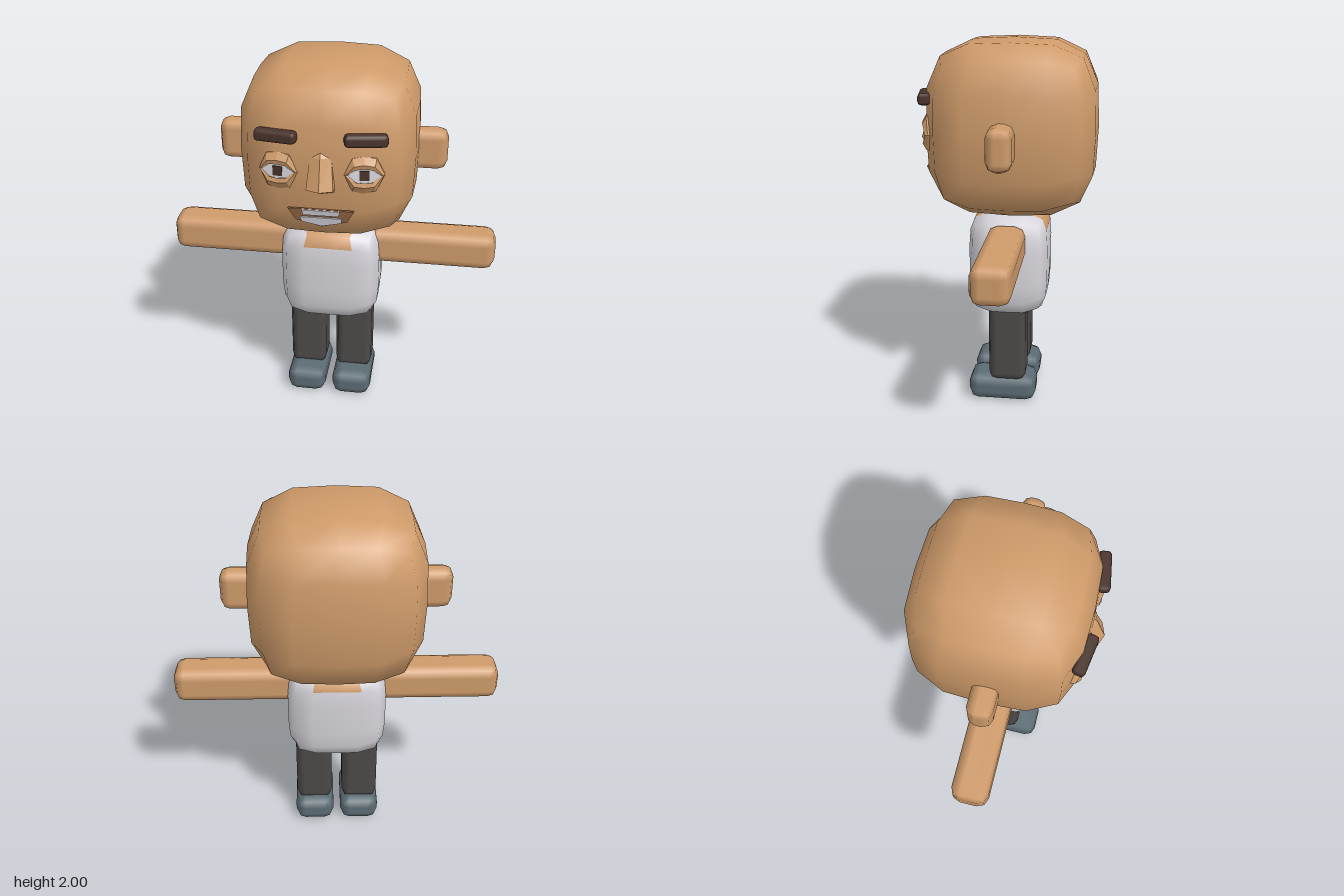
import * as THREE from 'three';
import { mergeVertices } from 'three/addons/utils/BufferGeometryUtils.js';
import { RoundedBoxGeometry } from 'three/addons/geometries/RoundedBoxGeometry.js';

const mat = (name, color, side = THREE.FrontSide) => {
  const m = new THREE.MeshStandardMaterial({ color, side });
  m.name = name;
  return m;
};

// Low-poly box swollen into a superellipsoid; k sets how square it is
function softCube(w, h, d, k, sx, sy, sz) {
  let g = new THREE.BoxGeometry(2, 2, 2, sx, sy, sz);
  g.deleteAttribute('uv');
  g.deleteAttribute('normal');
  g.clearGroups();
  const p = g.attributes.position, v = new THREE.Vector3();
  for (let i = 0; i < p.count; i++) {
    v.fromBufferAttribute(p, i);
    const s = (Math.abs(v.x) ** k + Math.abs(v.y) ** k + Math.abs(v.z) ** k) ** (-1 / k);
    p.setXYZ(i, v.x * s * w / 2, v.y * s * h / 2, v.z * s * d / 2);
  }
  g = mergeVertices(g, 1e-4);
  g.computeVertexNormals();
  return g;
}

// Skin through a list of equal-length point rows
function loft(rows, closed) {
  const n = rows[0].length, index = [];
  for (let r = 0; r < rows.length - 1; r++) {
    for (let i = 0; i < (closed ? n : n - 1); i++) {
      const a = r * n + i, b = r * n + (i + 1) % n;
      index.push(a, a + n, b, b, a + n, b + n);
    }
  }
  const g = new THREE.BufferGeometry();
  g.setAttribute('position', new THREE.Float32BufferAttribute(rows.flat(2), 3));
  g.setIndex(index);
  const flat = g.toNonIndexed();
  flat.computeVertexNormals();
  return flat;
}

// Thin plate from an outline
function plate(points, depth) {
  const shape = new THREE.Shape(points.map(([x, y]) => new THREE.Vector2(x, y)));
  return new THREE.ExtrudeGeometry(shape, { depth, bevelEnabled: false });
}

export function createModel() {
  const model = new THREE.Group();
  model.name = 'figure';
  const skin = mat('skin', 0xcf9b6a);
  const skinSheet = skin;
  const shirt = mat('shirt', 0xd6d4da);
  const trousers = mat('trousers', 0x4d4949);
  const shoe = mat('shoe', 0x5c6c74);
  const brown = mat('dark brown', 0x4a342c);
  const mouthTone = mat('mouth', 0x9c6d46);
  const white = mat('eye and tooth white', 0xdcdce4);

  const add = (parent, name, geo, material, x = 0, y = 0, z = 0) => {
    const m = new THREE.Mesh(geo, material);
    m.name = name;
    m.position.set(x, y, z);
    parent.add(m);
    return m;
  };
  const block = (w, h, d, r) => new RoundedBoxGeometry(w, h, d, 1, r);

  // Head
  add(model, 'head', softCube(0.91, 0.91, 0.89, 3.6, 4, 4, 4), skin, 0, 1.545, -0.035);

  // Torso: vest with skin showing at the neckline, front and back
  const torso = softCube(0.545, 0.585, 0.43, 4.5, 4, 6, 4);
  const pos = torso.attributes.position, idx = [...torso.index.array];
  const cloth = [], bare = [];
  for (let t = 0; t < idx.length; t += 3) {
    const tri = idx.slice(t, t + 3);
    const cx = Math.abs(tri.reduce((s, i) => s + pos.getX(i), 0) / 3);
    const cy = tri.reduce((s, i) => s + pos.getY(i), 0) / 3;
    (cx < 0.125 && cy > 0.193 ? bare : cloth).push(...tri);
  }
  torso.setIndex([...cloth, ...bare]);
  torso.addGroup(0, cloth.length, 0);
  torso.addGroup(cloth.length, bare.length, 1);
  add(model, 'torso', torso, [shirt, skin], 0, 0.802, -0.015);

  // Nose: three-sided wedge widening downward
  const noseRow = ([y, w, z, back]) =>
    [[-w, y, back], [-w * 0.95, y, z - 0.025], [0, y, z], [w * 0.95, y, z - 0.025], [w, y, back]];
  const nose = [[1.64, 0.05, 0.405, 0.36], [1.615, 0.055, 0.425, 0.36], [1.46, 0.07, 0.476, 0.36],
    [1.43, 0.068, 0.42, 0.36], [1.43, 0.06, 0.36, 0.34]].map(noseRow);
  add(model, 'nose', loft(nose, false), skinSheet);

  // Mouth with two rows of teeth
  const mouth = new THREE.Group();
  mouth.name = 'mouth';
  mouth.position.set(0, 1.29, 0.398);
  mouth.rotation.x = 0.27;
  model.add(mouth);
  add(mouth, 'mouthOpening', plate([[-0.165, 0.052], [-0.13, -0.02], [0, -0.06], [0.13, -0.02], [0.165, 0.052]], 0.009),
    mouthTone, 0, 0, -0.006);
  add(mouth, 'upperTeeth', plate([[-0.095, 0.05], [-0.09, 0.018], [0.09, 0.018], [0.095, 0.05]], 0.008), white, 0, 0, 0.001);
  add(mouth, 'lowerTeeth', plate([[-0.105, 0.004], [-0.1, -0.026], [0, -0.052], [0.1, -0.026], [0.105, 0.004]], 0.008),
    white, 0, 0, 0.001);

  // Eyelid rings run anticlockwise from the outer corner
  const ring = (a, b, c, z, zCorner) => [[a, 0, zCorner], [b, c * 0.87, z], [0, c, z], [-b, c * 0.87, z],
    [-a, 0, zCorner], [-b, -c * 0.87, z], [0, -c, z], [b, -c * 0.87, z]];
  const lids = [ring(0.103, 0.06, 0.102, -0.04, -0.04), ring(0.1, 0.058, 0.098, 0.004, -0.005),
    ring(0.092, 0.05, 0.06, 0.026, 0.01), ring(0.077, 0.042, 0.037, 0.02, 0.006)]
    .map((r) => r.map((p) => p));
  const eyeWhite = ring(0.08, 0.045, 0.04, 0, 0).map(([x, y]) => [x, y]);

  for (const [side, s] of [['left', 1], ['right', -1]]) {
    // Eye
    const eye = new THREE.Group();
    eye.name = side + 'Eye';
    eye.position.set(s * 0.21, 1.533, 0.392);
    eye.rotation.y = s * 0.14;
    model.add(eye);
    // Lofted inward, so the rows are reversed to keep faces outward
    add(eye, 'eyelids', loft(lids.map((r) => [...r].reverse()), true), skinSheet);
    add(eye, 'eyeball', plate(eyeWhite, 0.008), white, 0, 0, 0.004);
    add(eye, 'pupil', new THREE.BoxGeometry(0.048, 0.05, 0.006), brown, 0, 0, 0.014);

    // Eyebrow
    const brow = add(model, side + 'Eyebrow', block(0.21, 0.062, 0.065, 0.02), brown, s * 0.217, 1.715, 0.403);
    brow.rotation.y = s * 0.16;

    // Ear, arm, leg, shoe
    add(model, side + 'Ear', block(0.24, 0.22, 0.13, 0.05), skin, s * 0.48, 1.52, -0.02);
    add(model, side + 'Arm', block(0.69, 0.2, 0.2, 0.055), skin, s * 0.545, 0.95, -0.02);
    add(model, side + 'Leg', block(0.205, 0.46, 0.205, 0.045), trousers, s * 0.132, 0.36, -0.017);
    add(model, side + 'Shoe', block(0.222, 0.15, 0.375, 0.055), shoe, s * 0.131, 0.08, 0.012);
  }

  // Eyelid and nose sheets are open at the back
  skin.side = THREE.DoubleSide;
  return model;
}
